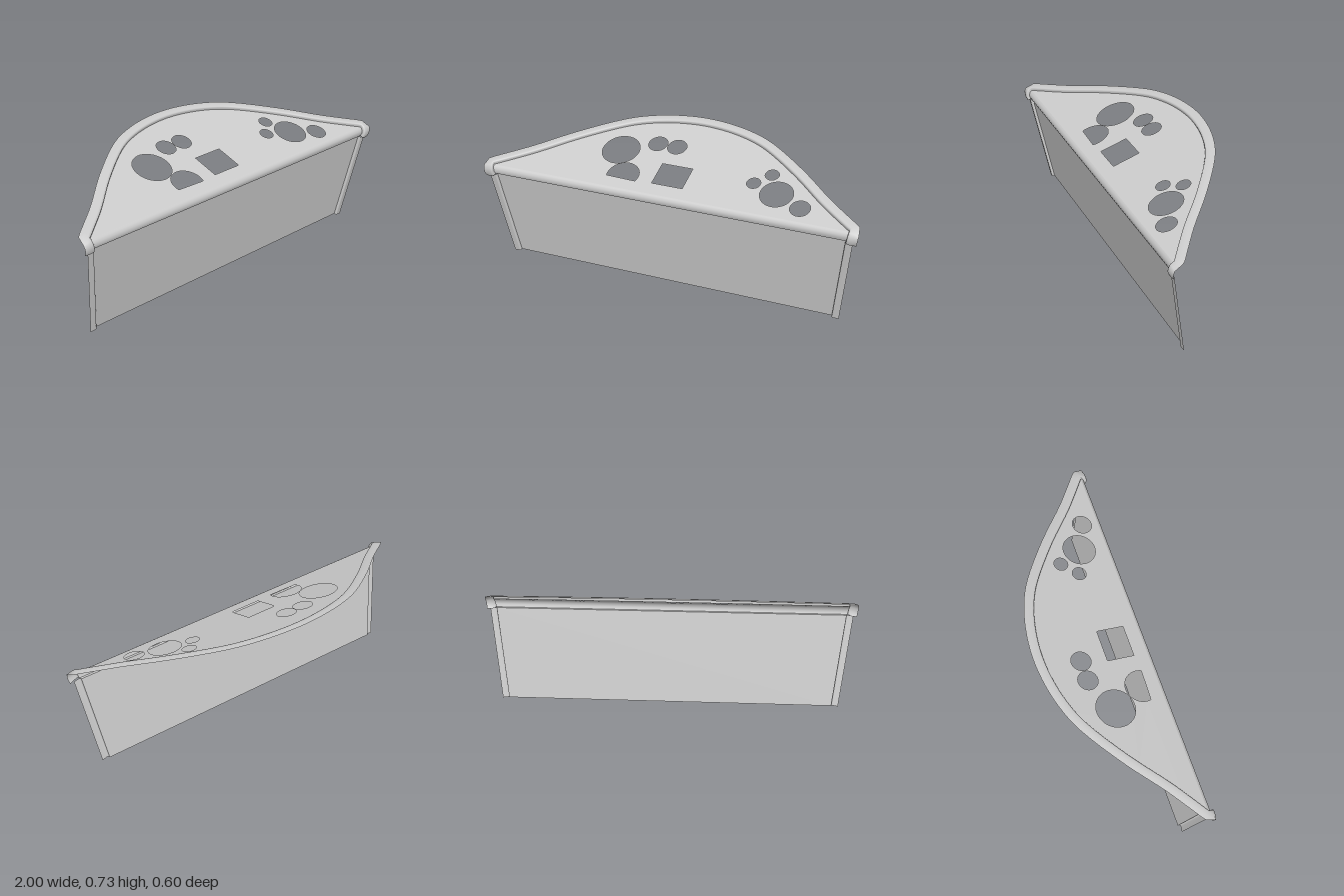
import * as THREE from 'three';

const material = new THREE.MeshStandardMaterial({ color: 0xcccccc, side: THREE.DoubleSide });
const V = (x, y, z) => new THREE.Vector3(x, y, z);
const topY = (z) => 0.53 + (0.262 - z) * 0.319; // sloping plane of the dash top

function addMesh(group, name, geometry) {
  const mesh = new THREE.Mesh(geometry, material);
  mesh.name = name;
  group.add(mesh);
}

// Surface through rows of points, all rows the same length
function loft(rows) {
  const n = rows[0].length, index = [];
  for (let i = 0; i < rows.length - 1; i++) {
    for (let j = 0; j < n - 1; j++) {
      const a = i * n + j, b = a + n;
      index.push(a, b, a + 1, a + 1, b, b + 1);
    }
  }
  const g = new THREE.BufferGeometry().setFromPoints(rows.flat());
  g.setIndex(index);
  g.computeVertexNormals();
  return g;
}

// Rim swept along an edge; section points are [outward, along the surface normal]
function rim(points, normals, section) {
  return loft(points.map((p, i) => {
    const t = points[Math.min(i + 1, points.length - 1)].clone()
      .sub(points[Math.max(i - 1, 0)]).normalize();
    const out = normals[i].clone().cross(t).normalize();
    return section.map(([o, n]) => p.clone().addScaledVector(out, o).addScaledVector(normals[i], n));
  }));
}

export function createModel() {
  const group = new THREE.Group();
  group.name = 'dashboardPanel';

  // Curved rear edge of the dash top, as x and z
  const half = [[0, -0.26], [0.15, -0.246], [0.285, -0.21], [0.388, -0.162], [0.593, -0.018],
    [0.772, 0.132], [0.88, 0.212], [0.95, 0.262]];
  const all = [...half.slice(1).reverse().map(([x, z]) => [-x, z]), ...half];
  const arc = new THREE.CatmullRomCurve3(all.map(([x, z]) => V(x, 0, z)), false, 'centripetal')
    .getPoints(56);

  // Dash top with instrument openings
  const shape = new THREE.Shape(arc.map((p) => new THREE.Vector2(p.x, -p.z)).reverse());
  const circles = [[-0.342, 0.005, 0.098], [-0.257, 0.17, 0.083], [-0.17, -0.08, 0.05],
    [-0.064, -0.08, 0.05], [0.406, 0.07, 0.035], [0.476, -0.005, 0.035],
    [0.54, 0.115, 0.083], [0.68, 0.177, 0.05]];
  for (const [x, z, r] of circles) {
    shape.holes.push(new THREE.Path().absarc(x, -z, r, 0, Math.PI * 2, true));
  }
  shape.holes.push(new THREE.Path([[-0.09, 0.05], [0.075, 0.05], [0.075, 0.19], [-0.09, 0.19]]
    .map(([x, z]) => new THREE.Vector2(x, -z))));
  const top = new THREE.ShapeGeometry(shape, 24);
  const pos = top.attributes.position;
  for (let i = 0; i < pos.count; i++) {
    const z = -pos.getY(i);
    pos.setXYZ(i, pos.getX(i), topY(z), z);
  }
  top.computeVertexNormals();
  addMesh(group, 'dashTop', top);

  // Rolled front edge: half width, y, z, and the normal's angle from upright
  const roll = [[0.95, 0.53, 0.262, 18], [0.949, 0.524, 0.27, 45], [0.947, 0.513, 0.276, 70],
    [0.944, 0.499, 0.278, 95], [0.94, 0.484, 0.272, 112]];
  const rollRows = roll.map(([x, y, z]) => [V(-x, y, z), V(x, y, z)]);
  addMesh(group, 'rolledFrontEdge', loft(rollRows));

  // Front panel, with the narrow ledge that joins it to the rolled edge
  addMesh(group, 'frontPanel', loft([[V(-0.935, 0.482, 0.262), V(0.935, 0.482, 0.262)],
    [V(-0.87, 0, 0.175), V(0.87, 0, 0.175)]]));
  addMesh(group, 'panelLedge', loft([rollRows[4], [V(-0.935, 0.482, 0.262), V(0.935, 0.482, 0.262)]]));

  // Raised rim round the rear arc and down both front corners
  const up = V(0, 0.953, 0.304);
  const corner = roll.slice(1).map(([x, y, z, deg]) => {
    const a = THREE.MathUtils.degToRad(deg);
    return { p: V(x, y, z), n: V(0, Math.cos(a), Math.sin(a)) };
  });
  const left = corner.slice().reverse().map(({ p, n }) => ({ p: V(-p.x, p.y, p.z), n }));
  const path = [...left, ...arc.map((p) => ({ p: V(p.x, topY(p.z), p.z), n: up })), ...corner];
  addMesh(group, 'topRim', rim(path.map((e) => e.p), path.map((e) => e.n),
    [[0, 0], [0, 0.01], [0.003, 0.016], [0.01, 0.018], [0.03, 0.016], [0.052, 0.01]]));

  // Stepped flanges down the sides of the front panel
  const forward = V(0, -0.178, 0.984);
  for (const s of [-1, 1]) {
    const edge = [V(s * 0.935, 0.482, 0.262), V(s * 0.87, 0, 0.175)];
    if (s < 0) edge.reverse();
    addMesh(group, s > 0 ? 'leftPanelFlange' : 'rightPanelFlange', rim(edge, [forward, forward],
      [[0, 0], [0, 0.008], [0.003, 0.012], [0.008, 0.014], [0.037, 0.011]]));
  }
  return group;
}
